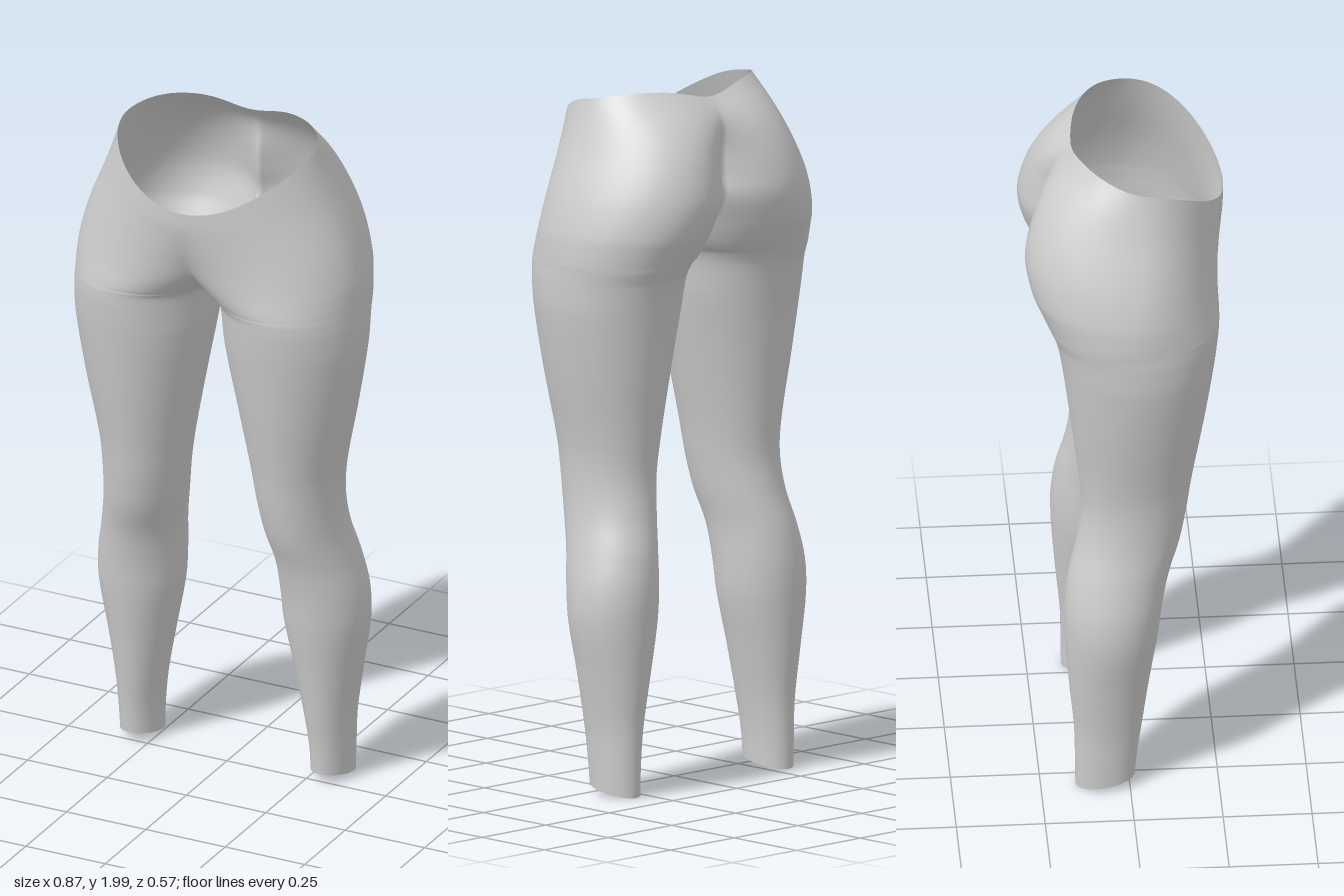
import * as THREE from 'three';
import { mergeVertices } from 'three/addons/utils/BufferGeometryUtils.js';

const CROTCH = 1.525, WAIST = 1.98;

// Leg sections: height, outer x, inner x, front z, back z
const leg = [
  [0.02, 0.357, 0.243, 0.015, -0.152],
  [0.1, 0.36, 0.24, 0.022, -0.153],
  [0.2, 0.366, 0.228, 0.035, -0.156],
  [0.35, 0.388, 0.2, 0.056, -0.17],
  [0.5, 0.412, 0.17, 0.08, -0.181],
  [0.6, 0.409, 0.163, 0.093, -0.182],
  [0.7, 0.388, 0.157, 0.113, -0.17],
  [0.8, 0.367, 0.138, 0.145, -0.146],
  [0.9, 0.361, 0.123, 0.165, -0.132],
  [1.0, 0.368, 0.108, 0.18, -0.138],
  [1.2, 0.406, 0.07, 0.215, -0.162],
  [1.38, 0.434, 0.035, 0.243, -0.186],
  [1.47, 0.437, 0.026, 0.254, -0.204],
  [1.51, 0.436, 0.017, 0.257, -0.222],
];

// Hip sections: height, outer x, front lobe centre, back lobe centre, front z, back z
const hips = [
  [CROTCH, 0.436, 0.218, 0.218, 0.258, -0.229],
  [1.56, 0.434, 0.197, 0.207, 0.258, -0.246],
  [1.61, 0.428, 0.165, 0.195, 0.257, -0.268],
  [1.69, 0.407, 0.118, 0.17, 0.259, -0.284],
  [1.76, 0.381, 0.075, 0.158, 0.265, -0.275],
  [1.84, 0.347, 0.035, 0.132, 0.274, -0.248],
  [1.91, 0.32, 0.01, 0.085, 0.281, -0.208],
  [WAIST, 0.296, 0, 0, 0.283, -0.145],
];

const keys = [
  ...leg.map(([y, X, I, f, b]) => [y, X, (X + I) / 2, (X + I) / 2, f, b]),
  ...hips,
];

// Smooth interpolation of a section between keys
function section(u) {
  const n = keys.length - 1;
  const i = Math.min(Math.floor(u), n - 1), t = u - i;
  const k0 = keys[Math.max(i - 1, 0)], k1 = keys[i], k2 = keys[i + 1], k3 = keys[Math.min(i + 2, n)];
  const slope = (a, b, j) => (b[j] - a[j]) / Math.max(b[0] - a[0], 1e-6);
  const h = k2[0] - k1[0];
  return k1.map((v, j) => {
    if (j === 0) return v + h * t;
    const m1 = slope(k0, k2, j) * h, m2 = slope(k1, k3, j) * h;
    const t2 = t * t, t3 = t2 * t;
    return (2 * t3 - 3 * t2 + 1) * v + (t3 - 2 * t2 + t) * m1 + (3 * t2 - 2 * t3) * k2[j] + (t3 - t2) * m2;
  });
}

// One row of points: a closed ring on the leg, an arc ending on the midline at the hips
function ring(u, half) {
  let [y, X, cf, cb, zF, zB] = section(u);
  const hip = y >= CROTCH - 1e-6;
  const w = Math.max(0, (y - CROTCH) / (WAIST - CROTCH));
  const cz = hip ? 0.0145 + 0.0355 * w : (zF + zB) / 2;
  const points = [];
  for (let i = -half; i <= half; i++) {
    const front = i >= 0;
    let c = front || !hip ? cf : cb;
    c = hip ? Math.max(0, Math.min(c, X / 2)) : Math.max(c, X / 2);
    const r = X - c;
    const end = hip ? Math.acos(-Math.min(1, c / r)) : Math.PI;
    const t = (end * i) / half;
    let x = c + r * Math.cos(t);
    if (hip && Math.abs(i) === half) x = 0;
    const z = cz + (front ? zF - cz : cz - zB) * Math.sin(t);
    // Waistband dips at the front and slightly at the back centre
    const back = THREE.MathUtils.smoothstep(-z, -0.05, 0.1);
    let dy = -w * 0.15 * Math.pow(Math.max(z, 0) / 0.28, 2.2);
    dy += w ** 3 * back * (0.02 - 0.03 * Math.exp(-((x / 0.1) ** 2)));
    // Ankle hem slopes down to the back
    dy += 0.2 * (z + 0.07) * Math.max(0, 1 - y / 0.2);
    points.push(x, y + dy, z);
  }
  return points;
}

function leggingsGeometry(half = 36, steps = 5) {
  const rows = (keys.length - 1) * steps, cols = half * 2 + 1;
  const pos = [], index = [];
  for (const side of [1, -1]) {
    const base = pos.length / 3;
    for (let r = 0; r <= rows; r++) {
      const p = ring(r / steps, half);
      for (let i = 0; i < p.length; i += 3) pos.push(side * p[i], p[i + 1], p[i + 2]);
    }
    for (let r = 0; r < rows; r++) {
      for (let i = 0; i < cols - 1; i++) {
        const a = base + r * cols + i, b = a + cols, c = b + 1, d = a + 1;
        if (side > 0) index.push(a, b, d, b, c, d);
        else index.push(a, d, b, b, d, c);
      }
    }
  }
  let geo = new THREE.BufferGeometry();
  geo.setAttribute('position', new THREE.Float32BufferAttribute(pos, 3));
  geo.setIndex(index);
  // Weld the leg seams and the midline so shading stays smooth
  geo = mergeVertices(geo, 1e-5);
  geo.computeVertexNormals();
  return geo;
}

export function createModel() {
  const group = new THREE.Group();
  group.name = 'leggings';
  const material = new THREE.MeshStandardMaterial({ color: 0xcccccc, side: THREE.DoubleSide });
  const fabric = new THREE.Mesh(leggingsGeometry(), material);
  fabric.name = 'fabric';
  group.add(fabric);
  return group;
}
